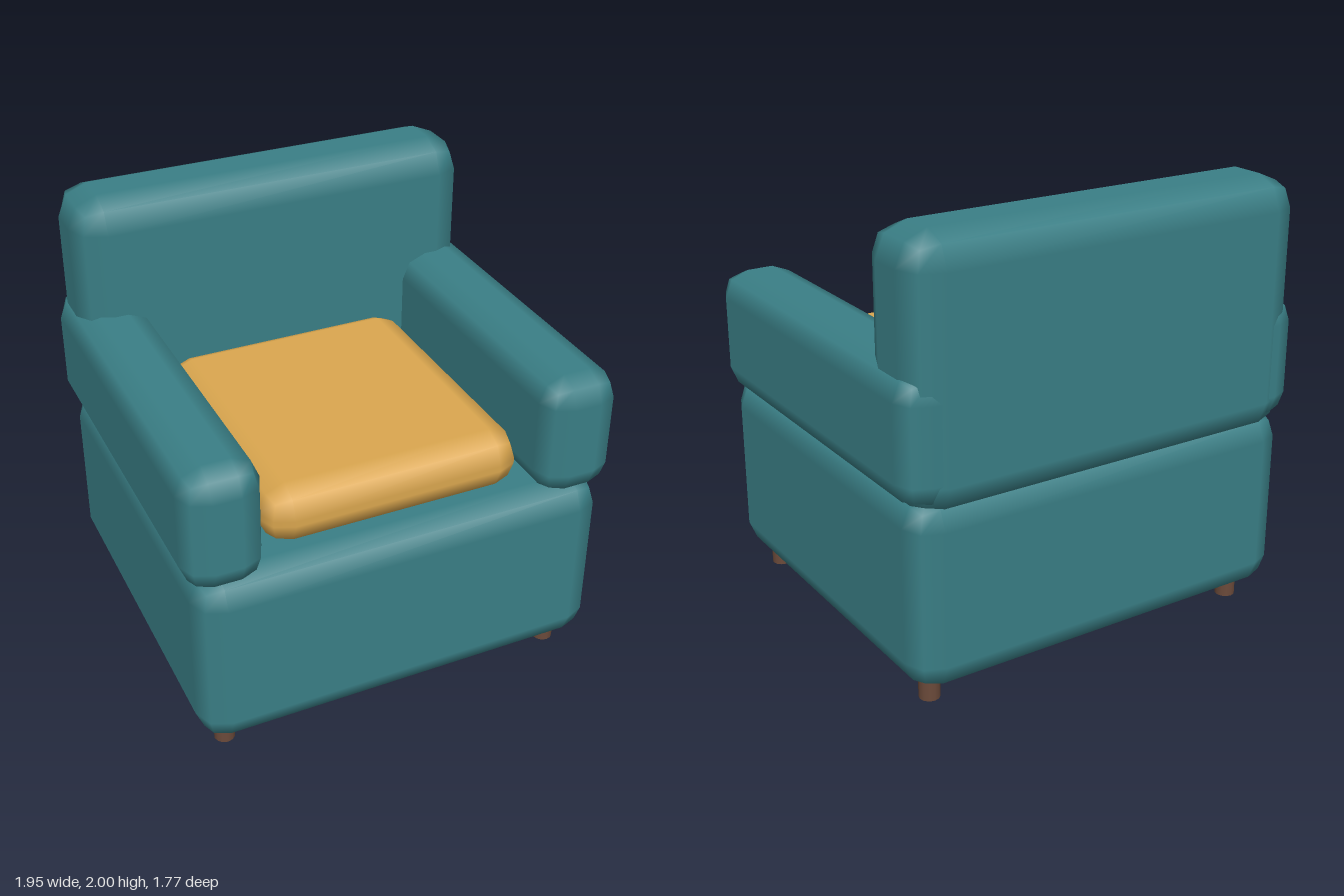
import * as THREE from 'three';
import { RoundedBoxGeometry } from 'three/addons/geometries/RoundedBoxGeometry.js';

export function createModel() {
  const group = new THREE.Group();
  group.name = 'armchair';

  const material = (name, color) => {
    const m = new THREE.MeshStandardMaterial({ color });
    m.name = name;
    return m;
  };
  const teal = material('teal upholstery', 0x3a7f86);
  const mustard = material('mustard cushion', 0xdba74f);
  const brown = material('brown wood', 0x6b4a3a);

  // Padded block given by its extents on each axis
  const pad = (name, mat, [x0, x1], [y0, y1], [z0, z1], radius) => {
    const mesh = new THREE.Mesh(
      new RoundedBoxGeometry(x1 - x0, y1 - y0, z1 - z0, 1, radius), mat);
    mesh.position.set((x0 + x1) / 2, (y0 + y1) / 2, (z0 + z1) / 2);
    mesh.name = name;
    group.add(mesh);
  };

  // Upholstered body
  pad('base', teal, [-0.94, 0.94], [0.10, 0.945], [-0.875, 0.885], 0.125);
  pad('backrest', teal, [-0.94, 0.94], [0.87, 2.0], [-0.89, -0.465], 0.14);
  pad('leftArm', teal, [0.625, 0.975], [0.91, 1.47], [-0.88, 0.885], 0.115);
  pad('rightArm', teal, [-0.975, -0.625], [0.91, 1.47], [-0.88, 0.885], 0.115);

  // Loose seat cushion, its rear tucked under the backrest
  pad('seatCushion', mustard, [-0.59, 0.59], [0.935, 1.2], [-0.54, 0.765], 0.12);

  // Short round feet
  const legGeometry = new THREE.CylinderGeometry(0.046, 0.046, 0.13, 12);
  for (const x of [-0.8, 0.8]) {
    for (const z of [-0.7, 0.715]) {
      const leg = new THREE.Mesh(legGeometry, brown);
      leg.position.set(x, 0.065, z);
      leg.name = (z > 0 ? 'front' : 'back') + (x > 0 ? 'Left' : 'Right') + 'Leg';
      group.add(leg);
    }
  }
  return group;
}
